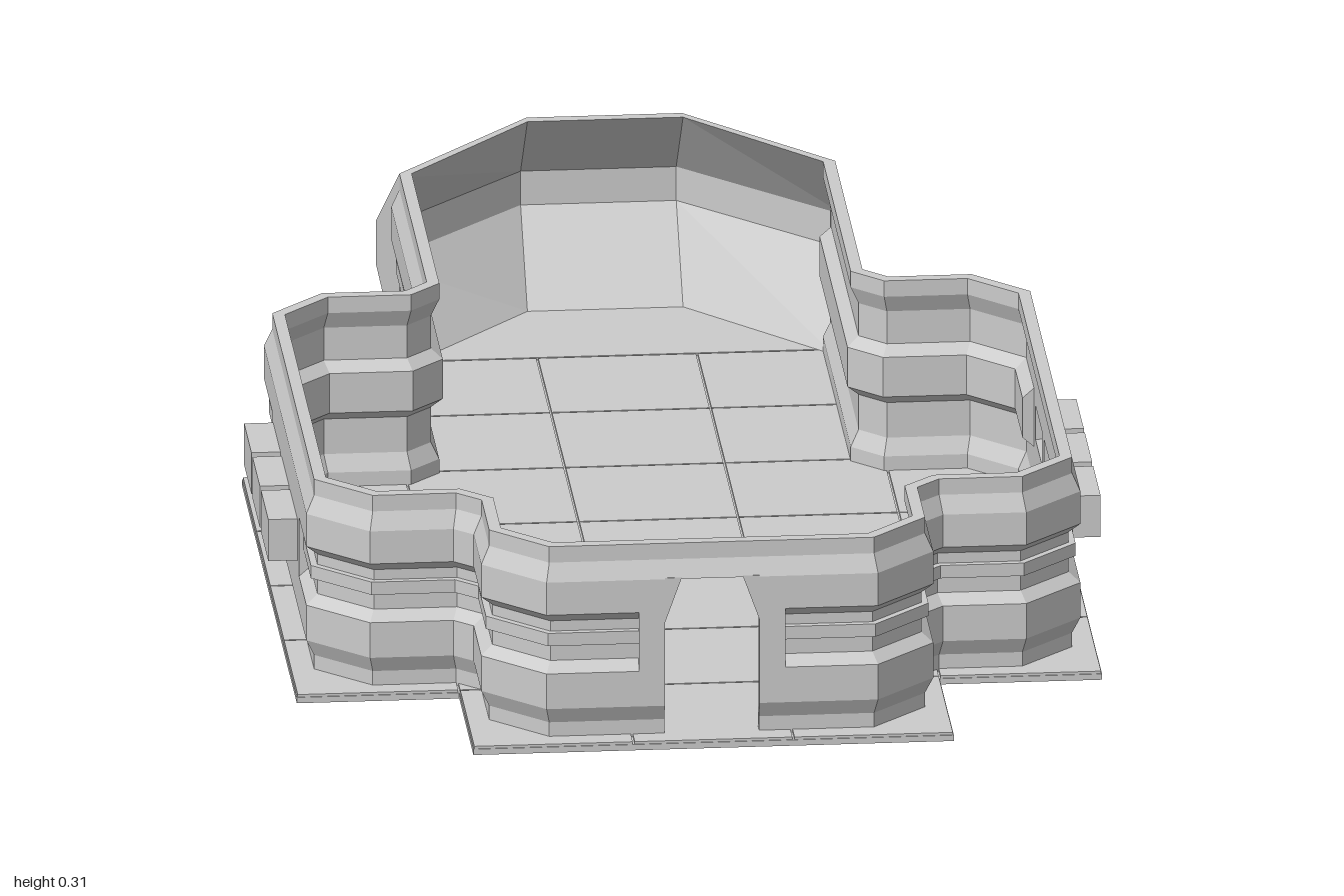
import * as THREE from 'three';

const material = new THREE.MeshStandardMaterial({ color: 0xcccccc, flatShading: true, side: THREE.DoubleSide });

function addMesh(group, name, geometry) {
  const mesh = new THREE.Mesh(geometry, material);
  mesh.name = name;
  group.add(mesh);
  return mesh;
}

// Box given by its lower and upper corners
function addBox(group, name, [x0, y0, z0], [x1, y1, z1]) {
  const geometry = new THREE.BoxGeometry(Math.abs(x1 - x0), y1 - y0, Math.abs(z1 - z0));
  addMesh(group, name, geometry).position.set((x0 + x1) / 2, (y0 + y1) / 2, (z0 + z1) / 2);
}

// Flat slab from a plan outline of [x, z] points
function addSlab(group, name, outline, y0, y1) {
  const shape = new THREE.Shape(outline.map(([x, z]) => new THREE.Vector2(x, -z)));
  const geometry = new THREE.ExtrudeGeometry(shape, { depth: y1 - y0, bevelEnabled: false });
  geometry.rotateX(-Math.PI / 2).translate(0, y0, 0);
  addMesh(group, name, geometry);
}

// Outward offset direction at each path point, mitred at the corners
function mitres(path) {
  const normal = (a, b) => new THREE.Vector2(a[1] - b[1], b[0] - a[0]).normalize();
  return path.map((p, i) => {
    const before = normal(path[Math.max(i - 1, 0)], path[Math.max(i, 1)]);
    const last = path.length - 1;
    const after = normal(path[Math.min(i, last - 1)], path[Math.min(i + 1, last)]);
    const sum = before.clone().add(after);
    return sum.multiplyScalar(2 / sum.lengthSq()).toArray();
  });
}

// Sweep a closed profile of [outward, height] points along a plan path
function sweep(path, profile, dirs = mitres(path)) {
  const rings = path.map(([x, z], i) => profile.map(([d, y]) => [x + dirs[i][0] * d, y, z + dirs[i][1] * d]));
  const pos = [];
  const n = profile.length;
  for (let i = 0; i < path.length - 1; i++) {
    for (let j = 0; j < n; j++) {
      const k = (j + 1) % n;
      const [a, b, c, d] = [rings[i][j], rings[i + 1][j], rings[i + 1][k], rings[i][k]];
      pos.push(...a, ...d, ...c, ...a, ...c, ...b);
    }
  }
  const faces = THREE.ShapeUtils.triangulateShape(profile.map(([d, y]) => new THREE.Vector2(d, y)), []);
  for (const ring of [rings[0], rings[rings.length - 1]]) {
    for (const face of faces) face.forEach((v) => pos.push(...ring[v]));
  }
  const geometry = new THREE.BufferGeometry();
  geometry.setAttribute('position', new THREE.Float32BufferAttribute(pos, 3));
  geometry.computeVertexNormals();
  return geometry;
}

// Give an outer profile a wall thickness
const THICK = 0.018;
const shell = (outer) => [...outer, ...outer.map(([d, y]) => [d - THICK, y]).reverse()];

const mirrorPath = (path, side) => (side > 0 ? path : path.map(([x, z]) => [-x, z]).reverse());

export function createModel() {
  const model = new THREE.Group();
  model.name = 'openBuilding';

  // Floor plate: cross plan with a chamfered back
  const half = [[0.355, 1], [0.355, 0.755], [0.595, 0.755], [0.595, -0.19], [0.355, -0.19], [0.355, -0.66], [0.118, -0.9]];
  addSlab(model, 'floorPlate', [...half, ...mirrorPath(half, -1)], 0, 0.009);

  // Floor tiles
  const tiles = new THREE.Group();
  tiles.name = 'floorTiles';
  model.add(tiles);
  const columns = [-0.595, -0.355, -0.118, 0.118, 0.355, 0.595];
  const rows = [1, 0.755, 0.518, 0.282, 0.045, -0.19, -0.428, -0.665];
  const gap = 0.0015;
  for (let c = 0; c < 5; c++) {
    for (let r = 0; r < 7; r++) {
      if ((c === 0 || c === 4) && (r === 0 || r > 4)) continue;
      addBox(tiles, 'floorTile', [columns[c] + gap, 0.008, rows[r + 1] + gap], [columns[c + 1] - gap, 0.013, rows[r] - gap]);
    }
  }
  addSlab(tiles, 'backFloorTile', [[0.348, -0.667], [0.118, -0.897], [-0.118, -0.897], [-0.348, -0.667]], 0.008, 0.013);

  // Wall profiles
  const top = [[0, 0.31], [0, 0.285], [0.012, 0.258]];
  const bottom = [[0.012, 0.06], [0, 0.035], [0, 0.009]];
  const flat = shell([...top, ...bottom]);
  const grooved = shell([...top, [0.012, 0.207], [-0.005, 0.192], [-0.005, 0.13], [0.012, 0.115], ...bottom]);
  const aboveWindows = shell([...top, [0.012, 0.195]]);
  const belowWindows = shell([[0.012, 0.13], ...bottom]);
  const rail = [[0.005, 0.176], [0.005, 0.156], [-0.006, 0.156], [-0.006, 0.176]];

  // Wall paths on the left side, from the doorway to the back
  const doorSide = [[0.07, 0.965], [0.108, 0.965]];
  const frontRun = [[0.108, 0.965], [0.24, 0.965], [0.322, 0.885], [0.322, 0.755], [0.357, 0.722], [0.48, 0.722], [0.56, 0.645], [0.56, 0.525]];
  const windowRun = [[0.56, 0.525], [0.56, 0.06]];
  const backRun = [[0.56, 0.06], [0.56, -0.075], [0.48, -0.155], [0.357, -0.155], [0.322, -0.19], [0.322, -0.66]];

  for (const side of [1, -1]) {
    const walls = new THREE.Group();
    walls.name = side > 0 ? 'leftWalls' : 'rightWalls';
    model.add(walls);
    const add = (name, path, profile) => addMesh(walls, name, sweep(mirrorPath(path, side), profile));
    add('doorSideWall', doorSide, flat);
    add('frontWall', frontRun, grooved);
    add('frontRail', frontRun, rail);
    add('wallAboveWindows', windowRun, aboveWindows);
    add('wallBelowWindows', windowRun, belowWindows);
    add('backWall', backRun, grooved);
    add('backRail', backRun, rail);

    // Three projecting window bays, open to the inside, with posts between
    const [inner, outer, end] = [0.554 * side, 0.572 * side, 0.615 * side];
    const bays = [[0.37, 0.497], [0.225, 0.352], [0.08, 0.207]];
    const posts = [[0.497, 0.525], [0.352, 0.37], [0.207, 0.225], [0.06, 0.08]];
    for (const [z0, z1] of posts) addBox(walls, 'windowPost', [inner, 0.13, z0], [outer, 0.195, z1]);
    for (const [z0, z1] of bays) {
      addBox(walls, 'bayTop', [inner, 0.189, z0], [end, 0.195, z1]);
      addBox(walls, 'bayBottom', [inner, 0.13, z0], [end, 0.136, z1]);
      addBox(walls, 'bayEnd', [inner, 0.136, z0], [end, 0.189, z0 + 0.006]);
      addBox(walls, 'bayEnd', [inner, 0.136, z1 - 0.006], [end, 0.189, z1]);
      addBox(walls, 'bayPane', [end - 0.006 * side, 0.136, z0 + 0.006], [end, 0.189, z1 - 0.006]);
    }

    // Sloped upper corner of the doorway
    const corner = new THREE.Shape([[0.07, 0.19], [0.07, 0.26], [0.045, 0.26]].map(([x, y]) => new THREE.Vector2(x * side, y)));
    addMesh(walls, 'doorwayCorner', new THREE.ExtrudeGeometry(corner, { depth: THICK, bevelEnabled: false })).position.z = 0.959;
  }

  // Lintel over the doorway
  addMesh(model, 'doorLintel', sweep([[-0.07, 0.965], [0.07, 0.965]], shell(top)));

  // Bulging back end: three facets around the back, sloped above and below
  const nosePath = [[0.322, -0.66], [0.115, -0.885], [-0.115, -0.885], [-0.322, -0.66]];
  const noseDirs = [[0.22, -0.957], [0, -1], [0, -1], [-0.22, -0.957]];
  const noseOuter = [[0, 0.31], [0.115, 0.197], [0.115, 0.13], [0, 0.011]];
  const noseInner = [[-0.018, 0.013], [0.1, 0.137], [0.1, 0.19], [-0.018, 0.31]];
  addMesh(model, 'backBulge', sweep(nosePath, [...noseOuter, ...noseInner], noseDirs));

  // Side plates closing the ends of the bulge
  for (const side of [1, -1]) {
    const path = [[0.322 * side, -0.66], [0.314 * side, -0.66]];
    addMesh(model, 'bulgeSidePlate', sweep(path, noseOuter, [[0.22 * side, -0.957], [0.22 * side, -0.957]]));
  }

  return model;
}
